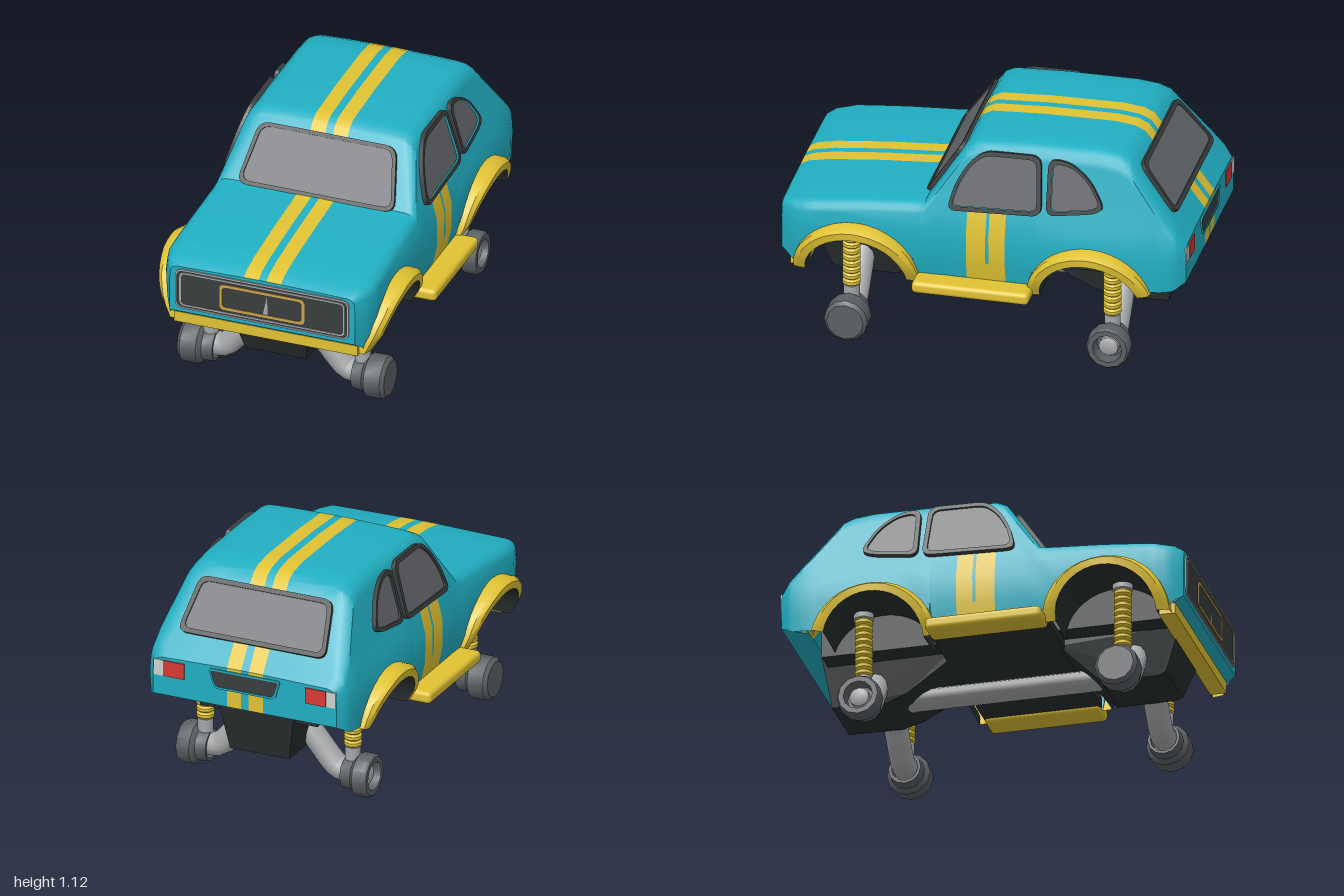
import * as THREE from 'three';
import { toCreasedNormals } from 'three/addons/utils/BufferGeometryUtils.js';
import { RoundedBoxGeometry } from 'three/addons/geometries/RoundedBoxGeometry.js';

const V = (x, y, z) => new THREE.Vector3(x, y, z);
const lerp = THREE.MathUtils.lerp;
const mat = (name, color, side = THREE.FrontSide) => Object.assign(new THREE.MeshStandardMaterial({ color, side }), { name });
const M = {
  teal: mat('teal paint', 0x21aec2, THREE.DoubleSide),
  yellow: mat('yellow paint', 0xe0c233, THREE.DoubleSide),
  under: mat('black underbody', 0x272d2e, THREE.DoubleSide),
  trim: mat('dark trim', 0x393d3d),
  glass: mat('grey glass', 0x63666a),
  hub: mat('hub grey', 0x5c6064),
  metal: mat('light metal', 0xa6a8aa),
  red: mat('red lamp', 0xd83a34),
  gold: mat('gold badge', 0xcfa546),
  clear: mat('clear lamp', 0xcfd0d0),
};

// Piecewise linear lookup in [[key, value], ...] with rising keys
function look(table, k) {
  if (k <= table[0][0]) return table[0][1];
  for (let i = 1; i < table.length; i++) {
    const [k0, v0] = table[i - 1], [k1, v1] = table[i];
    if (k <= k1) return lerp(v0, v1, (k - k0) / (k1 - k0));
  }
  return table[table.length - 1][1];
}

// Body rules: roof line, half width by height, plan taper, shoulder radius, lower edge
const END = .993;
const ROOF = [[-END, .705], [-.97, .735], [-.93, .79], [-.7, 1.085], [-.65, 1.108], [-.55, 1.12], [-.2, 1.115], [.05, 1.1],
  [.1, 1.073], [.285, .795], [.33, .785], [.6, .765], [.85, .738], [.95, .718], [END, .695]];
const WIDTH = [[.36, .5], [.45, .53], [.62, .54], [.7, .53], [.78, .505], [1.07, .425], [1.15, .4]];
const PLAN = [[-END, .9], [-.95, .97], [-.88, 1], [.86, 1], [.94, .96], [END, .88]];
const ROUND = [[-END, .04], [-.9, .08], [-.6, .08], [.1, .07], [.3, .05], [.9, .05], [END, .03]];
const BASE = [[-END, .51], [-.93, .47], [-.8, .455], [-.24, .37], [.9, .37], [.95, .42], [END, .45]];
const ARCHES = [{ z: .62, end: Math.PI }, { z: -.53, end: Math.PI * .91 }];
const ARCH = { rz: .31, ry: .285, y: .37 };
const wall = (y, z) => look(WIDTH, y) * look(PLAN, z);

function lowerEdge(z) {
  let y = look(BASE, z);
  for (const a of ARCHES) {
    const u = (z - a.z) / (ARCH.rz * .93);
    if (Math.abs(u) < 1) y = Math.max(y, ARCH.y + ARCH.ry * .93 * Math.sqrt(1 - u * u));
  }
  return y;
}

function section(z) {
  const T = look(ROOF, z), r = look(ROUND, z), yb = lowerEdge(z), ys = T - r;
  const belt = Math.min(.78, lerp(yb, ys, .8)), half = [];
  for (const f of [0, .35, .7, 1]) half.push([0, lerp(yb, belt, f)]);
  half.push([0, lerp(belt, ys, .5)], [0, ys]);
  half.forEach(p => { p[0] = wall(p[1], z); });
  const w = wall(ys, z);
  for (let k = 1; k <= 4; k++) {
    const a = k * Math.PI / 8;
    half.push([w - 1.3 * r * (1 - Math.cos(a)), ys + r * Math.sin(a)]);
  }
  half.push([.25, T + .004], [.095, T + .007], [.02, T + .008]);
  const ring = half.map(([x, y]) => V(x, y, z));
  return [...ring, ...half.reverse().map(([x, y]) => V(-x, y, z))];
}

// Skin over rows of points; pick(i, j) gives a material index
function skin(rows, { flip = false, pick = () => 0, crease = .6 } = {}) {
  const lists = [[], []];
  for (let i = 0; i < rows.length - 1; i++) for (let j = 0; j < rows[i].length - 1; j++) {
    const a = rows[i][j], b = rows[i][j + 1], c = rows[i + 1][j], d = rows[i + 1][j + 1];
    lists[pick(i, j)].push(...(flip ? [a, b, c, b, d, c] : [a, c, b, b, c, d]));
  }
  const g = new THREE.BufferGeometry().setFromPoints(lists.flat());
  g.addGroup(0, lists[0].length, 0);
  g.addGroup(lists[0].length, lists[1].length, 1);
  return toCreasedNormals(g, crease);
}

function roundedPath(pts, r, Type = THREE.Shape) {
  const P = pts.map(p => new THREE.Vector2(...p)), s = new Type();
  P.forEach((p, i) => {
    const prev = P[(i + P.length - 1) % P.length], next = P[(i + 1) % P.length];
    const near = q => p.clone().add(q.clone().sub(p).setLength(Math.min(r, q.distanceTo(p) * .45)));
    const a = near(prev), b = near(next);
    i ? s.lineTo(a.x, a.y) : s.moveTo(a.x, a.y);
    s.quadraticCurveTo(p.x, p.y, b.x, b.y);
  });
  s.closePath();
  return s;
}

export function createModel() {
  const root = new THREE.Group();
  root.name = 'car';
  const add = (name, geo, material, parent = root) => {
    const m = new THREE.Mesh(geo, material);
    m.name = name;
    parent.add(m);
    return m;
  };
  const box = (name, material, x0, x1, y0, y1, z0, z1) => add(name, new THREE.BoxGeometry(x1 - x0, y1 - y0, z1 - z0)
    .translate((x0 + x1) / 2, (y0 + y1) / 2, (z0 + z1) / 2), material);

  // Framed panel: raised rim around a flat fill, in its own plane
  function panel(name, pts, r, inset, rim, fill, depth, fillAt) {
    const g = new THREE.Group();
    g.name = name;
    const span = a => [(Math.max(...a) + Math.min(...a)) / 2, Math.max(...a) - Math.min(...a)];
    const [cx, w] = span(pts.map(p => p[0])), [cy, h] = span(pts.map(p => p[1]));
    const inner = pts.map(([x, y]) => [cx + (x - cx) * (1 - 2 * inset / w), cy + (y - cy) * (1 - 2 * inset / h)]);
    const outer = roundedPath(pts, r);
    outer.holes.push(roundedPath(inner, r * .8, THREE.Path));
    add(name + 'Frame', new THREE.ExtrudeGeometry(outer, { depth, bevelEnabled: false, curveSegments: 5 }), rim, g);
    add(name + 'Fill', new THREE.ShapeGeometry(roundedPath(inner, r * .8), 5).translate(0, 0, fillAt), fill, g);
    root.add(g);
    return g;
  }
  function place(g, origin, u, v, sink = .01) {
    u.normalize(); v.normalize();
    const n = u.clone().cross(v);
    g.applyMatrix4(new THREE.Matrix4().makeBasis(u, v, n).setPosition(origin.addScaledVector(n, -sink)));
  }

  // Body shell with painted stripes
  const zs = [END, -END, ...ROOF.map(p => p[0]), .075, -.02, -.035, -.115, -.95, -.88, .9];
  for (let z = -.2; z < .3; z += .1) zs.push(z);
  for (const a of ARCHES) for (let k = 0; k <= 16; k++) zs.push(a.z + ARCH.rz * .93 * Math.cos(k * Math.PI / 16));
  const Z = zs.sort((a, b) => b - a).filter((z, i, all) => !i || all[i - 1] - z > .002);
  const rings = Z.map(section), last = rings[0].length - 2;
  const stripe = j => Math.min(j, last - j) === 11;
  add('body', skin(rings, {
    pick: (i, j) => {
      const z = (Z[i] + Z[i + 1]) / 2, k = Math.min(j, last - j);
      const side = k < 3 && z < .075 && z > -.115 && (k === 0 || z > -.02 || z < -.035);
      return side || stripe(j) ? 1 : 0;
    },
  }), [M.teal, M.yellow]);

  // Nose and tail faces, each tucked under the body
  const flat = (ring, y, z) => ring.map(p => V(p.x, y, z));
  const front = rings[0], tail = rings[rings.length - 1];
  add('nose', skin([flat(front, .415, .94), flat(front, front[0].y, END), front]), M.teal);
  add('tail', skin([tail, flat(tail, tail[0].y, -END), flat(tail, .465, -.85)],
    { pick: (i, j) => (i === 0 && stripe(j) ? 1 : 0) }), [M.teal, M.yellow]);

  // Windscreen and rear window
  place(panel('windscreen', [[-.405, -.012], [.405, -.012], [.35, .302], [-.35, .302]], .06, .02, M.trim, M.glass, .03, .023),
    V(0, .795, .285), V(1, 0, 0), V(0, .278, -.185));
  place(panel('rearWindow', [[-.39, .03], [.39, .03], [.35, .32], [-.35, .32]], .05, .024, M.trim, M.glass, .03, .023),
    V(0, .79, -.93), V(-1, 0, 0), V(0, .295, .23));

  // Grille with nested rims, and badge frame
  const rect = (w, y0, y1) => [[-w, y0], [w, y0], [w, y1], [-w, y1]];
  panel('grille', rect(.445, .472, .685), .04, .008, M.metal, M.trim, .007, .002).position.z = END;
  panel('grilleInner', rect(.424, .487, .668), .03, .008, M.metal, M.trim, .006, .003).position.z = END;
  panel('badge', rect(.218, .508, .645), .025, .014, M.gold, M.trim, .006, .003).position.z = END + .001;
  const sliver = new THREE.Shape([[.005, .525], [.03, .525], [.025, .625]].map(p => new THREE.Vector2(...p)));
  add('grilleMark', new THREE.ShapeGeometry(sliver), M.metal).position.z = END + .006;
  box('frontValance', M.yellow, -.47, .47, .365, .42, .87, .95);

  // Rear number plate recess
  place(panel('plateRecess', [[-.16, .597], [.16, .597], [.19, .697], [-.19, .697]], .02, .01, M.teal, M.trim, .007, .003),
    V(0, 0, -END), V(-1, 0, 0), V(0, 1, 0), 0);

  // Underbody
  box('innerBody', M.under, -.31, .31, .42, .62, -.84, .93);
  box('floor', M.under, -.49, .49, .375, .42, -.25, .33);
  const keels = {
    frontKeel: [[.9, .43], [.82, .215], [.78, .2], [.5, .2], [.3, .39], [.3, .43]],
    rearKeel: [[-.23, .43], [-.23, .39], [-.46, .25], [-.56, .215], [-.83, .22], [-.87, .47]],
  };
  for (const [name, pts] of Object.entries(keels)) {
    const g = new THREE.ExtrudeGeometry(new THREE.Shape(pts.map(([z, y]) => new THREE.Vector2(-z, y))),
      { depth: .4, bevelEnabled: false }).translate(0, 0, -.2).rotateY(Math.PI / 2);
    const p = g.attributes.position;
    for (let i = 0; i < p.count; i++) p.setX(i, p.getX(i) * look([[.2, .75], [.37, 1]], p.getY(i)));
    g.computeVertexNormals();
    add(name, g, M.under);
  }
  add('driveShaft', new THREE.CapsuleGeometry(.048, .96, 4, 12).rotateX(Math.PI / 2).scale(1.5, 1, 1), M.metal).position.set(0, .283, 0);

  const lathe = (pts, n) => toCreasedNormals(new THREE.LatheGeometry(pts.map(p => new THREE.Vector2(...p)), n), .6);
  const coil = [];
  for (let i = 0; i <= 9; i++) {
    const y = .25 + i * .0333;
    coil.push([.033, y]);
    if (i < 9) coil.push([.044, y + .009], [.044, y + .024]);
  }

  // Hubs: closed in front, open cups with a light core at the rear
  const hubInner = [[0, .4], [.062, .4], [.066, .355], [.08, .355], [.085, .41], [.107, .43]];
  const axles = [
    { z: .67, hub: [...hubInner, [.107, .512], [.09, .53], [0, .53]] },
    { z: -.61, hub: [...hubInner, [.107, .49], [.098, .503], [.072, .503], [.066, .44], [0, .44]], core: [[.048, .43], [.048, .475], [.03, .485], [0, .485]] },
  ];

  for (const s of [1, -1]) {
    // Side windows
    const side = pts => pts.map(([z, y]) => [-s * z, (y - .78) * 1.037]);
    const windows = {
      doorWindow: [[.175, .772], [.14, .9], [.085, 1.0], [.01, 1.07], [-.272, 1.075], [-.29, .79]],
      quarterWindow: [[-.312, .795], [-.31, 1.07], [-.42, 1.06], [-.52, .985], [-.595, .86], [-.55, .83]],
    };
    for (const [name, pts] of Object.entries(windows)) {
      place(panel(name, side(pts), .05, .023, M.trim, M.glass, .032, .022),
        V(s * .505, .78, 0), V(0, 0, -s), V(-s * .08, .29, 0));
    }

    // Side steps and tail lamps
    add('sideStep', new RoundedBoxGeometry(.155, .062, .575, 3, .022), M.yellow).position.set(s * .547, .388, .037);
    const lamp = (name, m, a, b, z0, z1) => box(name, m, Math.min(s * a, s * b), Math.max(s * a, s * b), .61, .69, z0, z1);
    lamp('tailLamp', M.red, .32, .43, -.999, -.97);
    lamp('reverseLamp', M.clear, .43, .482, -.997, -.96);

    // Wheel arch flares with dark liners reaching the lip
    for (const a of ARCHES) {
      const sweep = profile => {
        const rows = [];
        for (let k = 0; k <= 18; k++) {
          const t = a.end * k / 18, e = Math.sin(t);
          rows.push(profile(e).map(([out, f, fixed]) => {
            const y = ARCH.y + ARCH.ry * f * e, z = a.z + ARCH.rz * f * Math.cos(t);
            return V(s * (fixed ? out : wall(y, z) + out), y, z);
          }));
        }
        return skin(rows, { flip: s > 0, crease: .7 });
      };
      add('archFlare', sweep(e => [[-.03, 1.01], [.012 + .035 * e, 1], [.015 + .062 * e, .93], [.012 + .062 * e, .8]]), M.yellow);
      add('archLiner', sweep(e => [[.012 + .062 * e, .8], [-.035, .8], [.3, .82, true]]), M.under);
    }

    // Suspension and hubs
    for (const { z, hub, core } of axles) {
      const g = new THREE.Group();
      g.name = 'suspension';
      g.position.z = z;
      root.add(g);
      const wheelPart = (name, pts, m) => {
        const part = add(name, lathe(pts, 12), m, g);
        part.position.y = .11;
        part.rotation.z = -s * Math.PI / 2;
      };
      wheelPart('hub', hub, M.hub);
      if (core) wheelPart('hubCore', core, M.metal);
      const path = new THREE.CatmullRomCurve3([[.12, .345], [.2, .25], [.28, .155], [.315, .125], [.4, .12]].map(([x, y]) => V(s * x, y, 0)));
      add('arm', new THREE.TubeGeometry(path, 14, .06, 12), M.metal, g);
      add('strutBase', lathe([[0, .16], [.04, .16], [.04, .25], [0, .25]], 12), M.metal, g).position.x = s * .39;
      add('strutCap', lathe([[0, .55], [.05, .55], [.05, .578], [0, .578]], 12), M.metal, g).position.x = s * .39;
      add('coilSpring', lathe(coil, 14), M.yellow, g).position.x = s * .39;
    }
  }
  return root;
}
